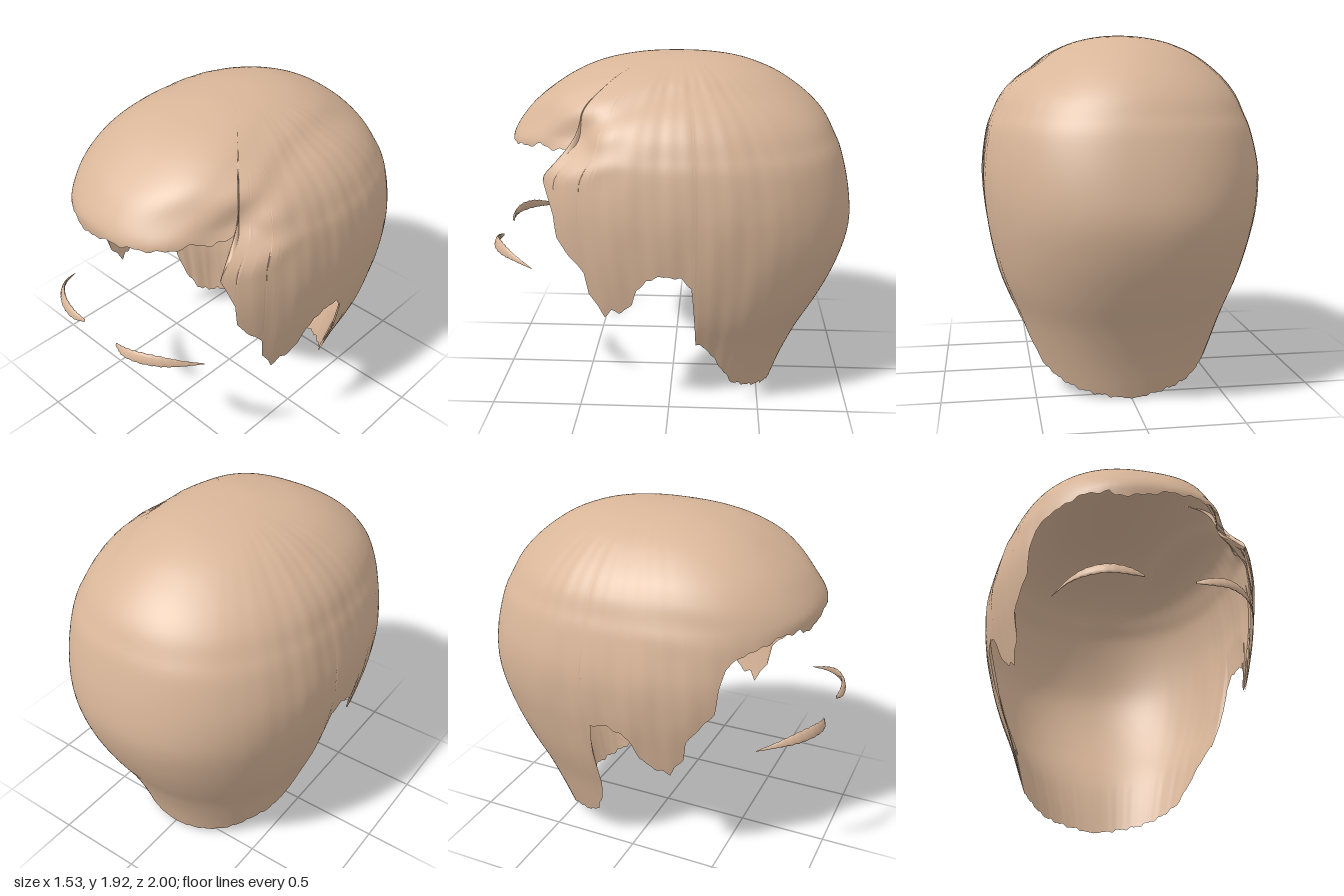
import * as THREE from 'three';
import { mergeVertices } from 'three/addons/utils/BufferGeometryUtils.js';

const V = (x, y, z) => new THREE.Vector3(x, y, z);
const smooth = THREE.MathUtils.smoothstep;
const ZC = -0.05, DEG = Math.PI / 180;
const PART = 44.5; // azimuth where the fringe meets the left side panel

// Horizontal sections of the hair: y, half width right / left, front z, back z
const sections = [
  [1.92, 0, 0, -0.05, -0.05], [1.915, 0.11, 0.1, 0.12, -0.2], [1.895, 0.23, 0.21, 0.26, -0.35],
  [1.86, 0.34, 0.31, 0.41, -0.47], [1.8, 0.455, 0.425, 0.55, -0.6], [1.7, 0.575, 0.56, 0.7, -0.74],
  [1.6, 0.65, 0.65, 0.81, -0.835], [1.5, 0.69, 0.7, 0.88, -0.89], [1.4, 0.725, 0.735, 0.88, -0.935],
  [1.2, 0.765, 0.76, 0.87, -0.985], [1, 0.755, 0.75, 0.85, -1], [0.8, 0.715, 0.72, 0.81, -0.95],
  [0.6, 0.66, 0.67, 0.78, -0.86], [0.4, 0.585, 0.59, 0.7, -0.75], [0.2, 0.52, 0.52, 0.6, -0.66],
  [0, 0.45, 0.45, 0.5, -0.59],
];
const widths = new THREE.CatmullRomCurve3(sections.map(s => V(s[0], s[1], s[2])), false, 'catmullrom');
const depths = new THREE.CatmullRomCurve3(sections.map(s => V(s[0], s[3], s[4])), false, 'catmullrom');

// Fullness of a section: rounder at the back of the crown, squarer at its front
const fullness = (front, y) => front ? 2.35 + 0.2 * smooth(y, 1.6, 1.8) : 2.27 - 0.3 * smooth(y, 1.35, 1.8);

// Section parameter at a given height
function paramAt(y) {
  let lo = 0, hi = 1;
  for (let i = 0; i < 30; i++) {
    const m = (lo + hi) / 2;
    if (widths.getPoint(m).x > y) lo = m; else hi = m;
  }
  return (lo + hi) / 2;
}

// Degrees by which the left side panel sweeps forward under the fringe
const sweep = a => 6 * (1 - smooth(a, PART, 75));

// Turn a side-edge point (z, y) into [column azimuth in degrees, y]
function sidePoint([z, y], sign) {
  const u = paramAt(y), w = widths.getPoint(u), d = depths.getPoint(u);
  const depth = z > ZC ? d.y - ZC : ZC - d.z, n = fullness(z > ZC, y);
  const k = Math.min(1, Math.abs(z - ZC) / depth);
  const x = (sign > 0 ? w.z : w.y) * Math.pow(1 - Math.pow(k, n), 1 / n);
  const actual = sign * Math.atan2(x, z - ZC) / DEG;
  let column = actual;
  if (sign > 0) for (let i = 0; i < 20; i++) column = actual + sweep(column);
  return [column, y];
}

// Lower hairline: fringe, sideburns, ear openings and nape
const sideburn = [[0.585, 1.18], [0.57, 1.05], [0.5, 0.95], [0.43, 0.87], [0.41, 0.75],
  [0.36, 0.68], [0.33, 0.62], [0.29, 0.66], [0.25, 0.65], [0.18, 0.72], [0.15, 0.8], [0.1, 0.87],
  [0, 0.9], [-0.08, 0.88]];
const napeLeft = [[-0.13, 0.83], [-0.14, 0.7], [-0.15, 0.45], [-0.2, 0.43], [-0.25, 0.34],
  [-0.31, 0.22], [-0.35, 0.14], [-0.45, 0.08], [-0.54, 0.04]];
const napeRight = [[-0.12, 0.83], [-0.13, 0.7], [-0.13, 0.45], [-0.16, 0.32], [-0.21, 0.2],
  [-0.28, 0.15], [-0.4, 0.12], [-0.5, 0.06]];
const edge = [
  [-180, 0],
  ...[[0.58, 1.3], ...sideburn.map(([z, y]) => [z - 0.03, y + 0.02]), ...napeRight].map(p => sidePoint(p, -1)),
  [-39, 1.365], [-34, 1.38], [-27, 1.425], [-17, 1.43], [-15, 1.4], [-6, 1.41], [0, 1.44],
  [13, 1.46], [22, 1.465], [29, 1.49], [36, 1.475], [41, 1.49], [PART - 0.4, 1.515], [PART, 1.525],
  [PART + 0.3, 1.34],
  ...[...sideburn, ...napeLeft].map(p => sidePoint(p, 1)),
  [180, 0],
].sort((a, b) => a[0] - b[0]);

function edgeAt(a) {
  let i = 1;
  while (i < edge.length - 1 && edge[i][0] < a) i++;
  const [a0, y0] = edge[i - 1], [a1, y1] = edge[i];
  const y = y0 + (y1 - y0) * (a - a0) / Math.max(1e-6, a1 - a0);
  const fray = 0.006 * Math.sin(a * 0.7) + 0.004 * Math.sin(a * 1.37 + 1);
  return Math.max(0, y + fray * smooth(180 - Math.abs(a), 0, 12) * smooth(Math.abs(a - PART), 0, 4));
}

// Point on the hair surface, with parting valley and soft strands; inset moves it inward
function hairPoint(u, column, inset) {
  const w = widths.getPoint(u), d = depths.getPoint(u), y = w.x;
  const panel = column > PART;
  const a = panel ? column - sweep(column) * smooth(1.525 - y, 0, 0.19) : column;
  const s = Math.sin(a * DEG), c = Math.cos(a * DEG);
  const hw = Math.max(1e-4, s > 0 ? w.z : w.y);
  const hd = Math.max(1e-4, c > 0 ? d.y - ZC : ZC - d.z);
  const n = fullness(c > 0, y);
  let r = Math.pow(Math.pow(Math.abs(s) / hw, n) + Math.pow(Math.abs(c) / hd, n), -1 / n);
  // Fringe tucks inward toward the parting; the side panel rises out of it
  const tuck = panel ? (1 - smooth(column, PART, 64)) * smooth(y, 1.36, 1.54) : smooth(column, 3, PART);
  r *= 1 - 0.12 * tuck * smooth(1.76 - y, 0, 0.23);
  const x = r * s, z = ZC + r * c;
  // Parting groove running back along the left of the crown
  const gx = 0.53 - 0.19 * Math.pow(Math.max(0, 0.3 - z), 1.3);
  const g = Math.exp(-Math.pow((x - gx) / 0.07, 2)) * smooth(y, 1.5, 1.62)
    * smooth(z, -0.85, -0.3) * (1 - smooth(z, 0.15, 0.4));
  // Swept strands in front, hanging strands at the sides
  const front = smooth(c, 0.1, 0.7) * smooth(y, 1.3, 1.5);
  const swept = Math.sin(30 * (y + 0.35 * z) - 9 * x + 2 * Math.sin(5 * x));
  const hanging = Math.sin(a * 0.31 + 2 * Math.sin(y * 3)) + 0.5 * Math.sin(a * 0.83 + 3 * y);
  const strands = 0.005 * front * swept + 0.002 * (1 - front) * hanging * smooth(c, -1, -0.3);
  r += smooth(r, 0.1, 0.5) * (strands - inset) - 0.02 * g;
  return [r * s, y - inset * (1 - smooth(r, 0.1, 0.6)), ZC + r * c];
}

// Grid of rows x columns to a smooth surface
function gridGeometry(grid) {
  const rows = grid[0].length, index = [];
  for (let i = 0; i < grid.length - 1; i++)
    for (let j = 0; j < rows - 1; j++) {
      const a = i * rows + j, b = a + rows;
      index.push(a, a + 1, b + 1, a, b + 1, b);
    }
  let geo = new THREE.BufferGeometry();
  geo.setAttribute('position', new THREE.Float32BufferAttribute(grid.flat(2), 3));
  geo.setIndex(index);
  geo = mergeVertices(geo, 1e-5);
  geo.computeVertexNormals();
  return geo;
}

// One layer of hair; the inset closes to nothing at the hairline
function hairGeometry(inset) {
  const angles = edge.map(e => e[0]);
  for (let a = -179.25; a < 180; a += 0.75) angles.push(a);
  angles.sort((a, b) => a - b);
  const rows = 60;
  return gridGeometry(angles.map(a => {
    const end = paramAt(edgeAt(a));
    return Array.from({ length: rows + 1 }, (_, j) =>
      hairPoint(end * j / rows, a, inset * Math.min(1, 10 * (1 - j / rows))));
  }));
}

// Tapered eyebrow: leaf-shaped sections along an arched path
function browGeometry(side) {
  const path = new THREE.CatmullRomCurve3([V(0.13, 0.88, 0.972), V(0.2, 0.887, 0.985), V(0.3, 0.899, 0.968),
    V(0.4, 0.895, 0.91), V(0.47, 0.877, 0.835), V(0.53, 0.842, 0.73)]);
  const size = new THREE.CatmullRomCurve3([0.008, 0.024, 0.03, 0.028, 0.016, 0.002].map((h, i) => V(i, h, 0)));
  const grid = [];
  for (let i = 0; i <= 40; i++) {
    const p = path.getPoint(i / 40), t = path.getTangent(i / 40);
    const h = Math.max(0.001, size.getPoint(i / 40).y) * (1 + 0.07 * Math.sin(i * 1.9));
    const out = V(-t.z, 0, t.x).normalize();
    grid.push(Array.from({ length: 13 }, (_, j) => {
      const q = j / 12 * Math.PI * 2, o = Math.cos(q) * h * 0.35 - Math.sin(q) * h * 0.3;
      return [side * (p.x + out.x * o), p.y + Math.sin(q) * h, p.z + out.z * o];
    }));
  }
  return gridGeometry(grid);
}

export function createModel() {
  const group = new THREE.Group();
  const tan = new THREE.MeshStandardMaterial({ color: 0xd9b699, side: THREE.DoubleSide });
  tan.name = 'tan hair';
  const add = (name, geo) => {
    const mesh = new THREE.Mesh(geo, tan);
    mesh.name = name;
    group.add(mesh);
  };
  add('hair', hairGeometry(0));
  add('hairLining', hairGeometry(0.02));
  add('leftEyebrow', browGeometry(1));
  add('rightEyebrow', browGeometry(-1));
  return group;
}
